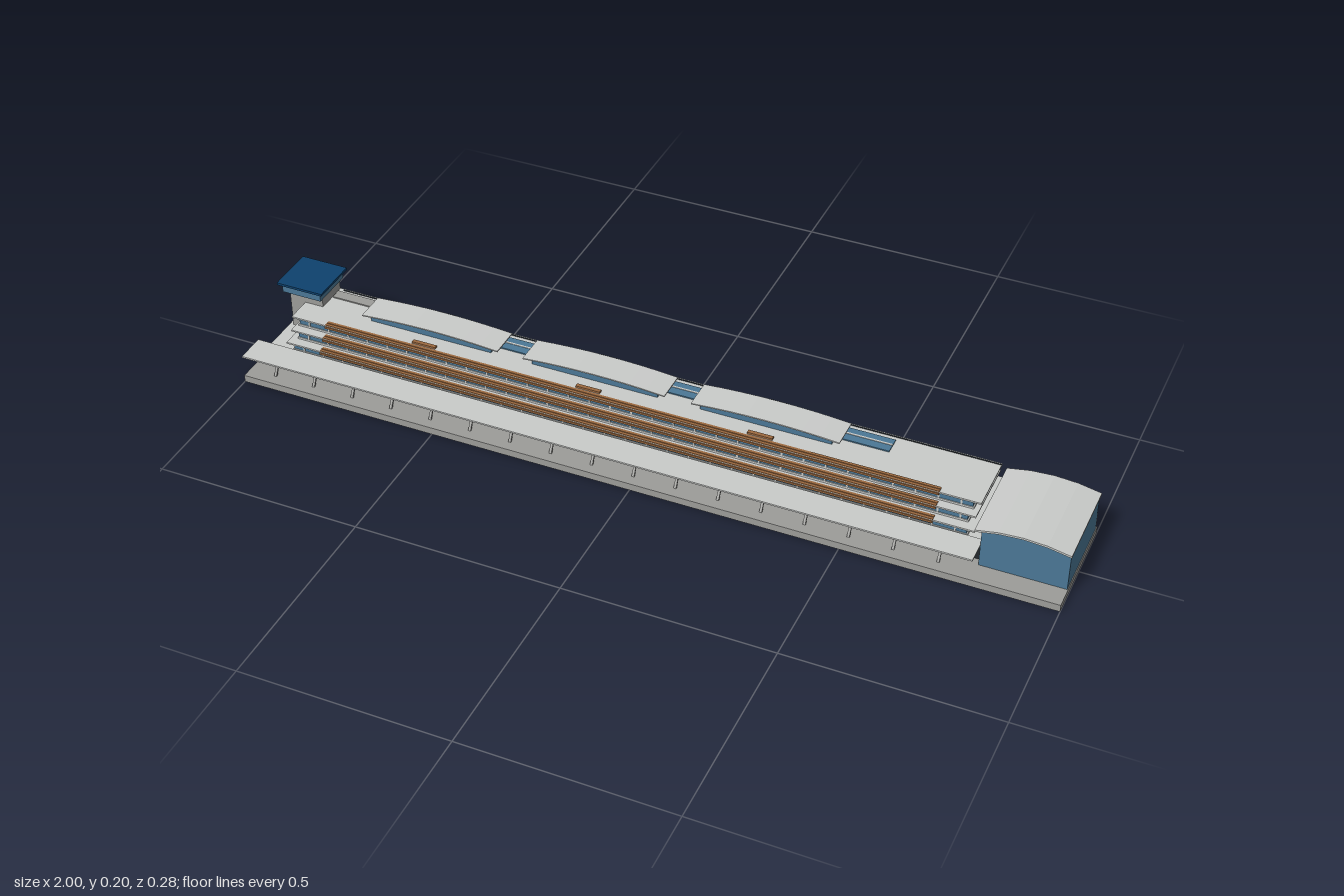
import * as THREE from 'three';

const mat = (name, color, side = THREE.FrontSide) => {
  const m = new THREE.MeshStandardMaterial({ color, side });
  m.name = name;
  return m;
};

export function createModel() {
  const model = new THREE.Group();
  model.name = 'terminalBuilding';
  const light = mat('lightConcrete', 0xcacccA);
  const grey = mat('greyConcrete', 0x9c9c99);
  const glass = mat('blueGlass', 0x4b7896);
  const navy = mat('navyRoof', 0x0e426e);
  const brown = mat('brownLouvre', 0x9c6a40);
  const dark = mat('darkPanel', 0x24292d);

  // Box given by its limits on each axis
  const box = (name, m, x0, x1, y0, y1, z0, z1, parent = model) => {
    const mesh = new THREE.Mesh(new THREE.BoxGeometry(x1 - x0, y1 - y0, z1 - z0), m);
    mesh.position.set((x0 + x1) / 2, (y0 + y1) / 2, (z0 + z1) / 2);
    mesh.name = name;
    parent.add(mesh);
    return mesh;
  };
  // Front profile pushed along z
  const prism = (name, m, points, z0, z1) => {
    const shape = new THREE.Shape(points.map(p => new THREE.Vector2(p[0], p[1])));
    const geo = new THREE.ExtrudeGeometry(shape, { depth: z1 - z0, bevelEnabled: false });
    geo.translate(0, 0, z0);
    const mesh = new THREE.Mesh(geo, m);
    mesh.name = name;
    model.add(mesh);
  };
  // Arched slab: points along the upper curve, returned underneath
  const arch = (x0, x1, y, rise, n) => Array.from({ length: n + 1 }, (_, i) => {
    const t = i / n;
    return [x0 + (x1 - x0) * t, y + rise * 4 * t * (1 - t)];
  });
  const archSlab = (x0, x1, y, rise, thick, n) => {
    const top = arch(x0, x1, y, rise, n);
    return [...top, ...top.map(([x, v]) => [x, v - thick]).reverse()];
  };

  // Base and ground floor
  box('basePlinth', grey, -1, 1, 0, 0.018, -0.14, 0.14);
  box('groundFloor', light, -0.97, 0.8, 0.018, 0.062, -0.13, 0.066);
  box('podiumSlab', light, -0.97, 0.8, 0.062, 0.066, -0.132, 0.075);
  box('hallBackWall', light, 0.8, 0.998, 0.018, 0.06, -0.134, -0.13);

  // Ground floor front: dark openings with blue panes
  const frontage = new THREE.Group();
  frontage.name = 'groundFrontage';
  model.add(frontage);
  box('darkFrontage', dark, -0.96, 0.8, 0.018, 0.052, 0.066, 0.068, frontage);
  for (let i = 0; i < 17; i++) {
    const x = -0.94 + i * 0.103;
    box('frontPane', glass, x + 0.012, x + 0.04, 0.034, 0.05, 0.068, 0.069, frontage);
    box('frontPier', grey, x + 0.055, x + 0.063, 0.018, 0.052, 0.068, 0.07, frontage);
  }

  // Canopy with slanted struts
  box('canopy', light, -1, 0.8, 0.07, 0.074, 0.066, 0.14);
  const strutLength = Math.hypot(0.052, 0.028);
  for (let i = 0; i < 17; i++) {
    const strut = new THREE.Mesh(new THREE.BoxGeometry(0.006, strutLength, 0.005), grey);
    strut.position.set(-0.93 + i * 0.103, 0.044, 0.099);
    strut.rotation.x = -Math.atan2(0.028, 0.052);
    strut.name = 'canopyStrut';
    model.add(strut);
  }

  // Stepped upper floors: glass, slab, mullions and louvres
  const floors = [
    { y: 0.066, top: 0.086, front: 0.067, back: -0.134, x0: -0.92, x1: 0.78 },
    { y: 0.09, top: 0.112, front: 0.05, back: -0.125, x0: -0.915, x1: 0.775 },
    { y: 0.116, top: 0.139, front: 0.034, back: -0.115, x0: -0.92, x1: 0.78 },
  ];
  floors.forEach((f, k) => {
    const floor = new THREE.Group();
    floor.name = 'upperFloor' + (k + 1);
    model.add(floor);
    const zf = f.front - 0.009, zb = f.back + 0.008;
    box('floorGlass', glass, f.x0 + 0.015, f.x1 - 0.02, f.y, f.top, zb, zf, floor);
    box('floorSlab', light, f.x0, f.x1, f.top, f.top + 0.004, f.back, f.front, floor);
    box('sillBand', light, f.x0 + 0.012, f.x1 - 0.017, f.y, f.y + 0.005, zb - 0.002, zf + 0.002, floor);
    for (let x = f.x0 + 0.04; x < f.x1 - 0.03; x += 0.052) {
      box('frontMullion', light, x, x + 0.004, f.y, f.top, zf, zf + 0.002, floor);
      box('backMullion', light, x, x + 0.006, f.y, f.top, zb - 0.002, zb, floor);
    }
    for (const z of [f.front - 0.016, f.front - 0.007]) {
      box('sunLouvre', brown, -0.83, 0.685, f.top + 0.004, f.top + 0.006, z, z + 0.007, floor);
    }
    box('louvreEdge', brown, -0.83, 0.685, f.top - 0.003, f.top + 0.002, f.front, f.front + 0.003, floor);
  });
  box('roofGutter', dark, -0.86, 0.78, 0.143, 0.1445, -0.111, -0.108);

  // Roof shells over clerestory glass, with skylights and small roof boxes
  for (let i = 0; i < 3; i++) {
    const x = -0.76 + i * 0.42;
    prism('clerestory', glass, [[x + 0.02, 0.143], [x + 0.335, 0.143],
      ...arch(x + 0.02, x + 0.335, 0.155, 0.006, 8).reverse()], -0.088, -0.027);
    prism('roofShell', light, archSlab(x, x + 0.355, 0.158, 0.008, 0.003, 8), -0.097, -0.02);
    const end = i === 2 ? 0.54 : x + 0.42;
    box('skylight', glass, x + 0.34, end, 0.143, 0.146, -0.096, -0.052);
    box('skylightBar', light, x + 0.34, end, 0.146, 0.147, -0.078, -0.073);
    box('roofVent', dark, x + 0.155, x + 0.197, 0.143, 0.15, -0.117, -0.1);
    box('roofHatch', brown, x + 0.15, x + 0.21, 0.143, 0.148, 0.004, 0.014);
  }
  box('towerLink', grey, -0.87, -0.76, 0.143, 0.146, -0.1, -0.073);

  // Control tower
  box('towerShaft', grey, -0.96, -0.872, 0.018, 0.169, -0.113, -0.03);
  box('towerCab', glass, -0.97, -0.868, 0.169, 0.19, -0.123, -0.015);
  box('towerRoof', navy, -0.98, -0.86, 0.19, 0.196, -0.13, -0.008);

  // End hall with faceted arched roof
  prism('endHall', glass, [[0.8, 0.018], [0.998, 0.018],
    ...arch(0.8, 0.998, 0.111, 0.011, 4).reverse()], -0.13, 0.086);
  prism('endHallRoof', light, archSlab(0.785, 1, 0.115, 0.014, 0.005, 4), -0.138, 0.091);

  return model;
}
